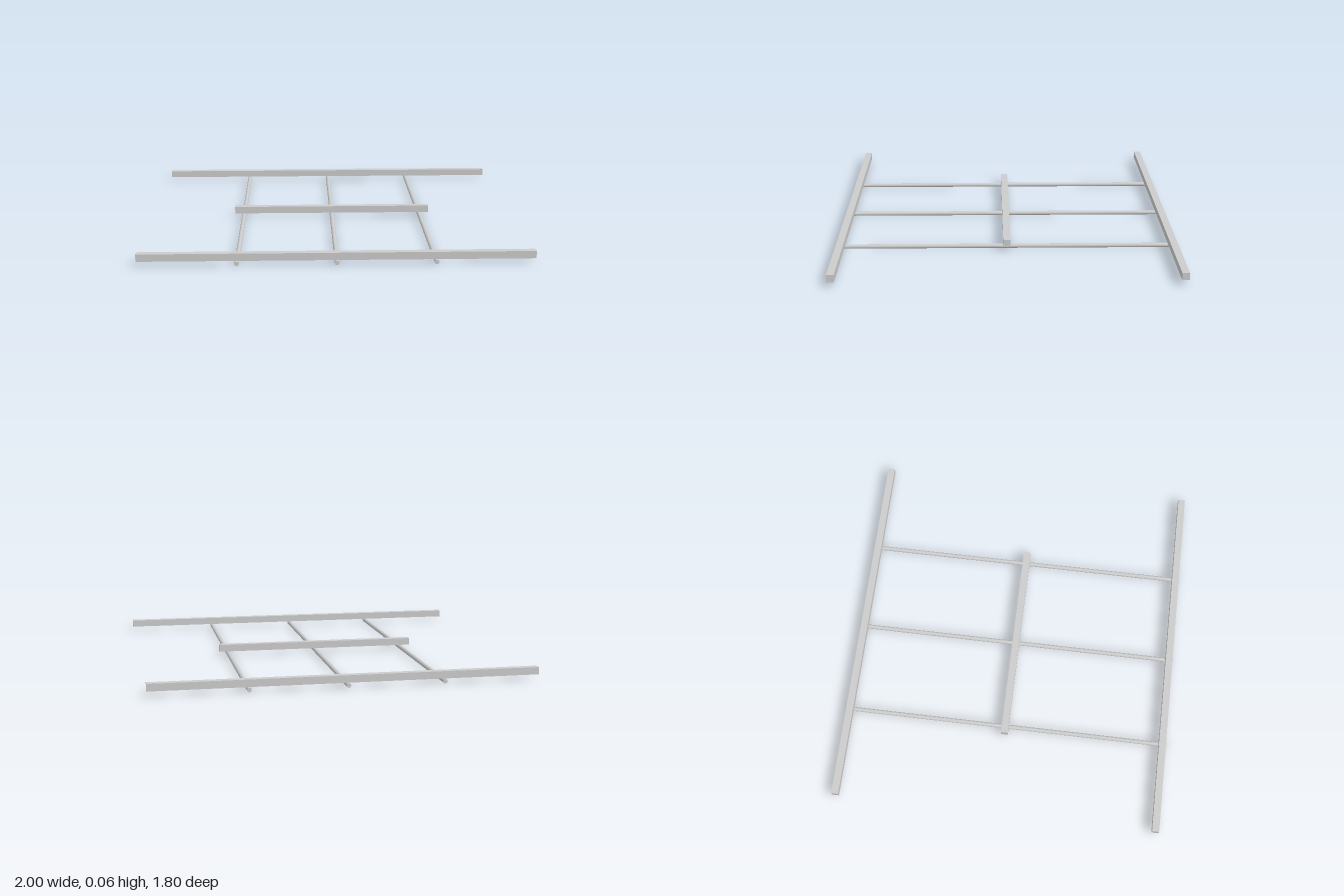
import * as THREE from 'three';

export function createModel() {
  const group = new THREE.Group();
  const material = new THREE.MeshStandardMaterial({ color: 0xcccccc });
  const rodRadius = 0.0115;
  const beamSize = 0.038;

  function add(name, geometry, x, y, z) {
    const mesh = new THREE.Mesh(geometry, material);
    mesh.name = name;
    mesh.position.set(x, y, z);
    group.add(mesh);
  }

  // Square crossbeams resting on the rods
  function beam(name, length, z) {
    add(name, new THREE.BoxGeometry(length, beamSize, beamSize), 0, 2 * rodRadius + beamSize / 2 + 0.002, z);
  }
  beam('frontBeam', 2, 0.875);
  beam('middleBeam', 1.1, 0);
  beam('backBeam', 2, -0.875);

  // Round rods running front to back
  const rodGeometry = new THREE.CylinderGeometry(rodRadius, rodRadius, 1.8, 16).rotateX(Math.PI / 2);
  [['rightRod', -0.5], ['centerRod', 0], ['leftRod', 0.5]].forEach(([name, x]) => {
    add(name, rodGeometry, x, rodRadius, 0);
  });

  return group;
}
